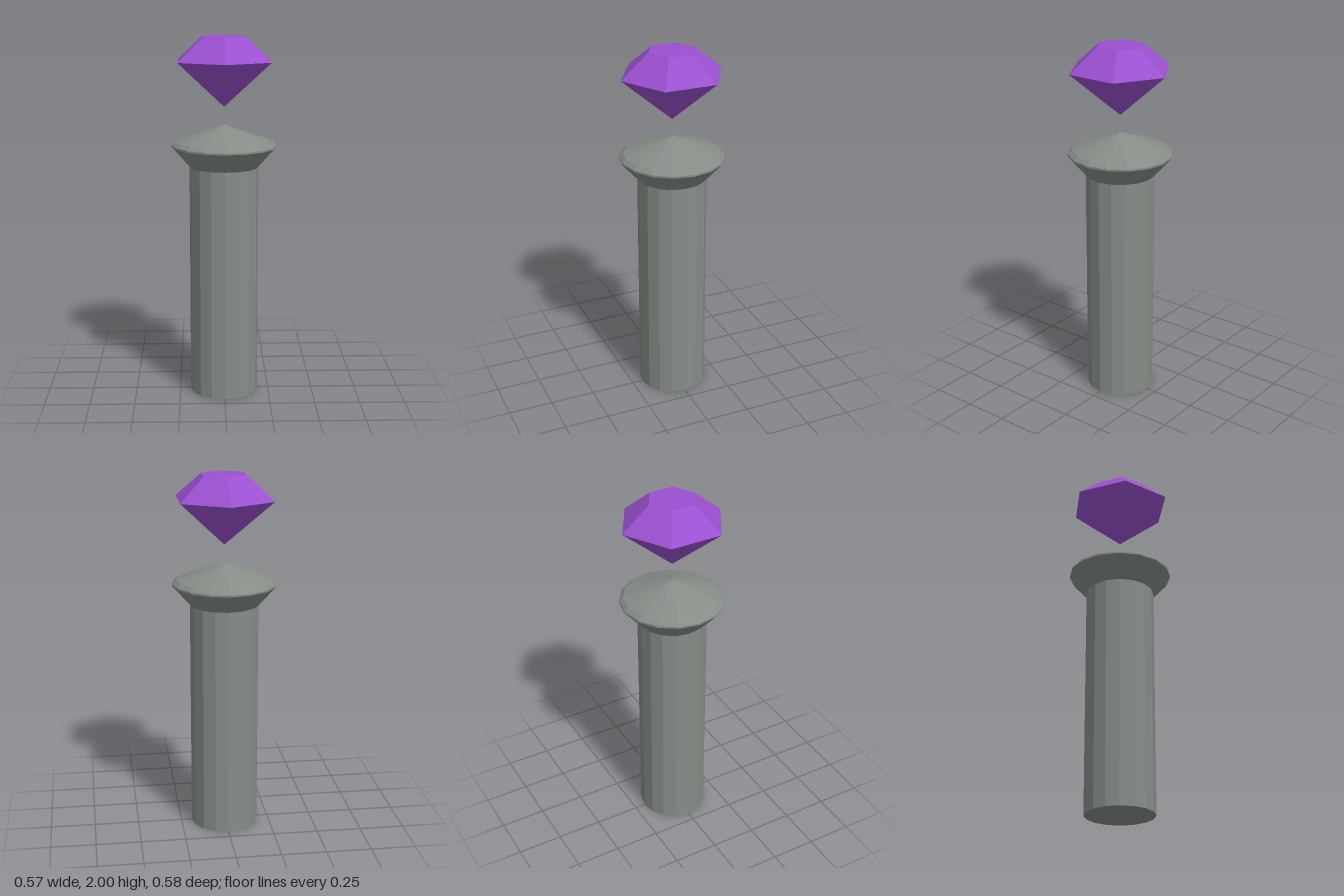
import * as THREE from 'three';

// Faceted solid of revolution; profile runs bottom to top as [radius, y]
function facetedLathe(name, profile, sides, material) {
  const points = profile.map(([r, y]) => new THREE.Vector2(r, y));
  const mesh = new THREE.Mesh(new THREE.LatheGeometry(points, sides), material);
  mesh.name = name;
  return mesh;
}

export function createModel() {
  const group = new THREE.Group();
  group.name = 'gemPillar';
  const stone = new THREE.MeshStandardMaterial({ color: 0x868d87, flatShading: true });
  const crystal = new THREE.MeshStandardMaterial({ color: 0x9b50d0, flatShading: true });

  // Straight shaft with a closed base
  group.add(facetedLathe('shaft', [[0, 0], [0.19, 0], [0.19, 1.29]], 16, stone));

  // Flared capital with a bevelled rim and a shallow conical top
  group.add(facetedLathe('capital',
    [[0.19, 1.29], [0.287, 1.4], [0.287, 1.41], [0.265, 1.43], [0, 1.525]], 16, stone));

  // Floating six-sided cut gem
  group.add(facetedLathe('gem',
    [[0, 1.62], [0.288, 1.87], [0.134, 2], [0, 2]], 6, crystal));

  return group;
}
